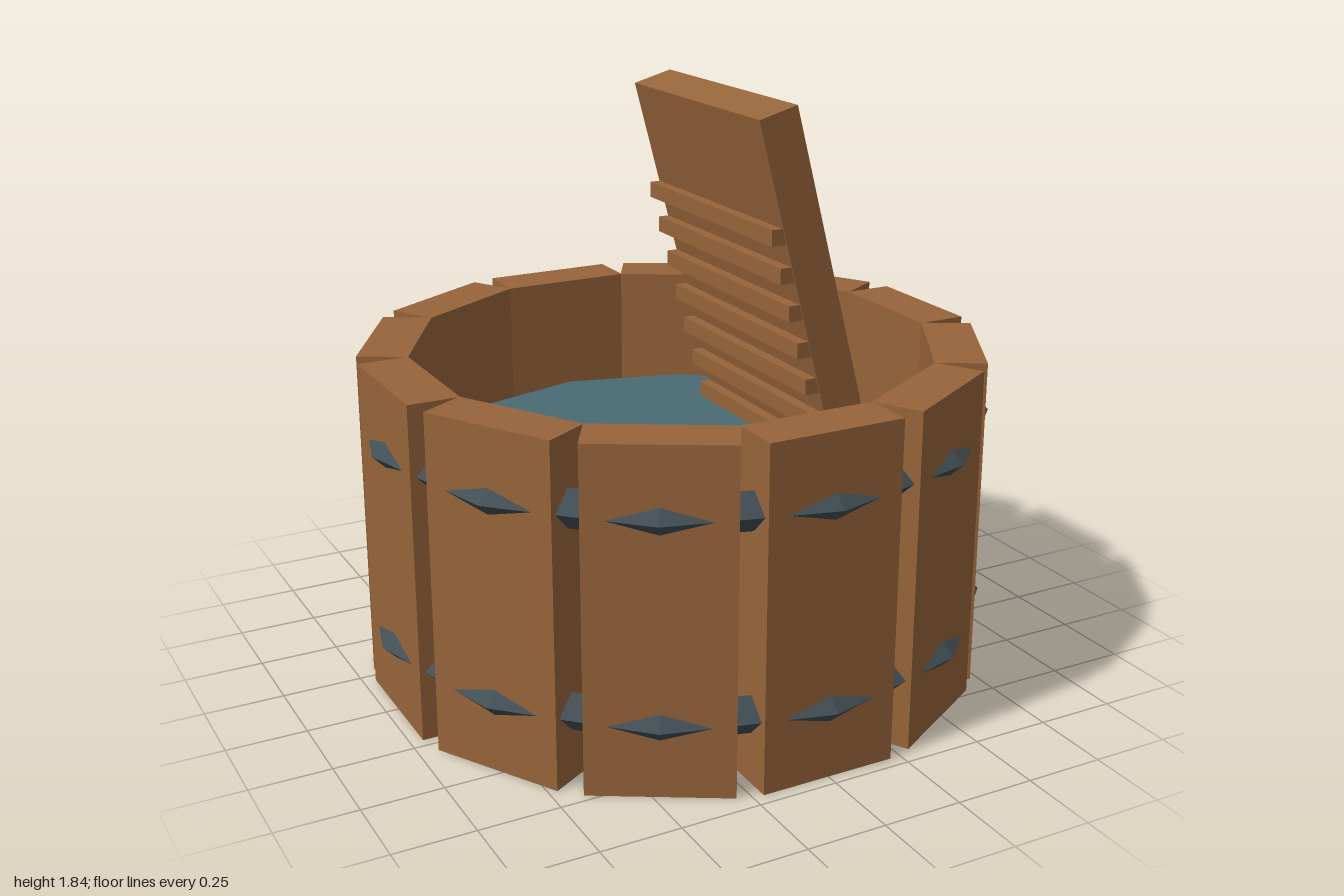
import * as THREE from 'three';

const wood = new THREE.MeshStandardMaterial({ color: 0x96643a });
wood.name = 'wood';
const iron = new THREE.MeshStandardMaterial({ color: 0x414e54 });
iron.name = 'iron';
const water = new THREE.MeshStandardMaterial({ color: 0x4a6a73 });
water.name = 'water';

const COUNT = 12;

// Faceted mesh: unshared vertices give each face its own normal
function part(name, geometry, material, parent, x = 0, y = 0, z = 0) {
  const flat = geometry.index ? geometry.toNonIndexed() : geometry;
  flat.computeVertexNormals();
  const mesh = new THREE.Mesh(flat, material);
  mesh.name = name;
  mesh.position.set(x, y, z);
  parent.add(mesh);
  return mesh;
}

export function createModel() {
  const tub = new THREE.Group();
  tub.name = 'washtub';

  // Ring of upright staves touching at their inner edges
  const staves = new THREE.Group();
  staves.name = 'staves';
  tub.add(staves);
  for (let i = 0; i < COUNT; i++) {
    const a = (i / COUNT) * Math.PI * 2;
    const stave = part('stave', new THREE.BoxGeometry(0.432, 1.06, 0.16), wood, staves,
      Math.sin(a) * 0.88, 0.53, Math.cos(a) * 0.88);
    stave.rotation.y = a;
  }

  // Two iron hoops whose corners poke through the staves
  for (const y of [0.22, 0.84]) {
    const hoop = new THREE.TorusGeometry(0.94, 0.06, 4, COUNT).rotateX(Math.PI / 2);
    part('hoop', hoop, iron, tub, 0, y, 0);
  }

  // Floor set slightly above the stave ends
  const floor = new THREE.CylinderGeometry(0.825, 0.825, 0.06, COUNT).rotateY(Math.PI / COUNT);
  part('floor', floor, wood, tub, 0, 0.07, 0);

  // Water
  part('water', new THREE.CylinderGeometry(0.79, 0.79, 0.59, COUNT), water, tub, 0, 0.395, 0);

  // Leaning washboard, placed by the middle of its top edge
  const washboard = new THREE.Group();
  washboard.name = 'washboard';
  tub.add(washboard);
  const length = 1.4;
  const board = part('board', new THREE.BoxGeometry(0.132, length, 0.79).translate(0, -length / 2, 0),
    wood, washboard, 0.135, 1.825, 0);
  board.rotation.z = Math.PI / 12;

  // Scrubbing ridges stepping down the board
  for (let i = 0; i < 7; i++) {
    part('ridge', new THREE.BoxGeometry(0.09, 0.05, 0.78), wood, washboard,
      0.168 + i * 0.032, 1.455 - i * 0.12, 0);
  }

  return tub;
}
